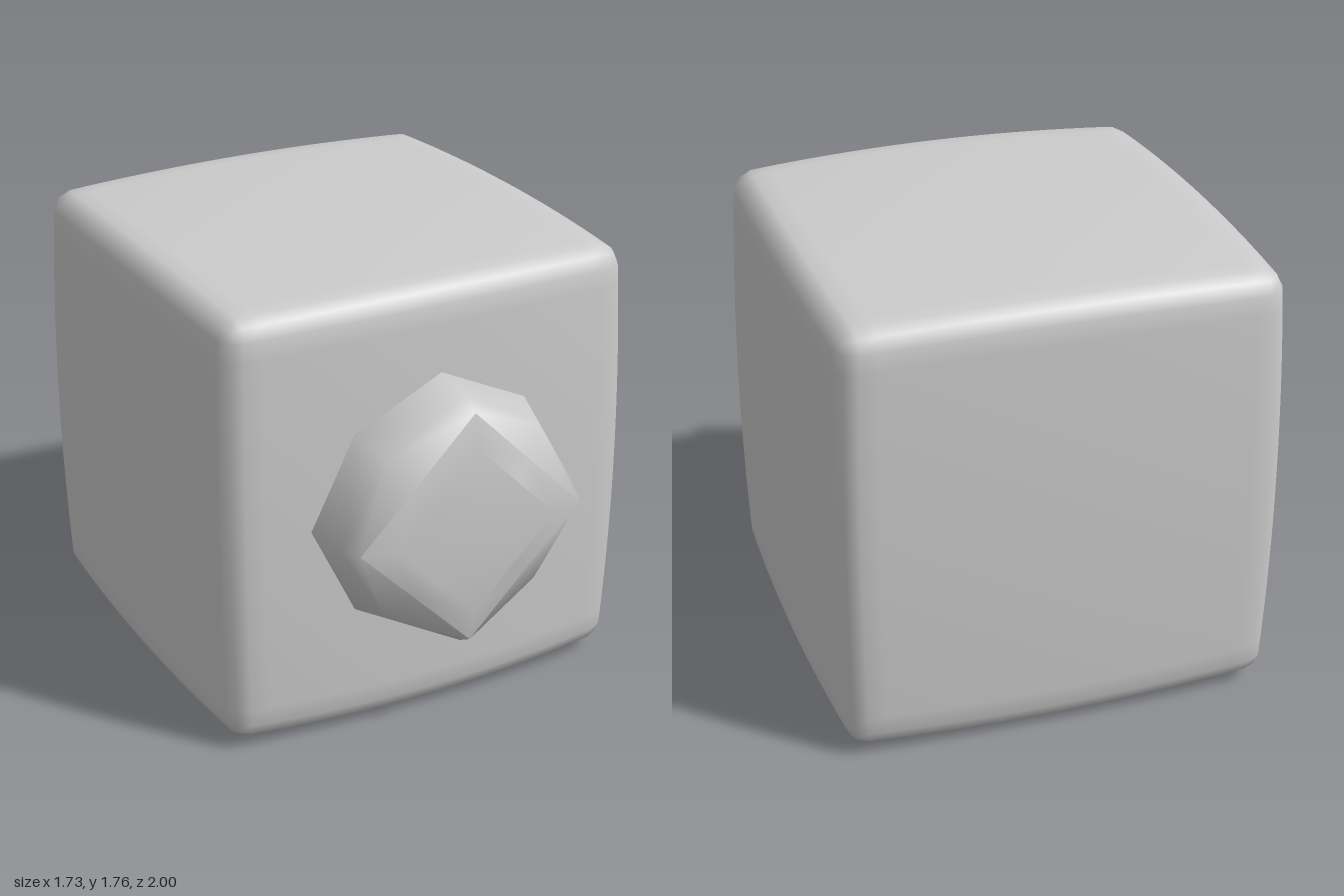
import * as THREE from 'three';
import { mergeVertices } from 'three/addons/utils/BufferGeometryUtils.js';

const material = new THREE.MeshStandardMaterial({ color: 0xcccccc });

// Cube with rounded edges and gently bulging faces
function createBody() {
  const half = [0.865, 0.88, 0.87], radius = 0.08, n = 24;
  const box = new THREE.BoxGeometry(2, 2, 2, n, n, n);
  box.deleteAttribute('uv');
  box.deleteAttribute('normal');
  const geometry = mergeVertices(box);
  const pos = geometry.attributes.position;
  const p = new THREE.Vector3(), inner = new THREE.Vector3(), q = new THREE.Vector3();
  for (let i = 0; i < pos.count; i++) {
    p.fromBufferAttribute(pos, i);
    p.set(p.x * half[0], p.y * half[1], p.z * half[2]);
    // round the edges
    inner.set(...p.toArray().map((v, a) => THREE.MathUtils.clamp(v, radius - half[a], half[a] - radius)));
    p.sub(inner).setLength(radius).add(inner);
    // draw the edges in, so each face bulges; the front bulges more across
    q.set(p.x / half[0], p.y / half[1], p.z / half[2]);
    const k = 0.025, front = q.z > 0 ? 0.035 * q.z : 0;
    pos.setXYZ(i,
      p.x * (1 - k * (q.y ** 2 + q.z ** 2)),
      p.y * (1 - k * (q.x ** 2 + q.z ** 2)),
      p.z * (1 - k * (q.x ** 2 + q.y ** 2) - front * q.x ** 2));
  }
  geometry.computeVertexNormals();
  const body = new THREE.Mesh(geometry, material);
  body.name = 'body';
  body.position.set(0, 0.88, -0.13);
  return body;
}

// Loft through eight-sided rings: [radius on axes, radius on diagonals, z]
function loftRings(rings, closeEnd) {
  const vertices = [], index = [], n = 8;
  for (const [axis, diagonal, z] of rings) {
    for (let i = 0; i < n; i++) {
      const r = i % 2 ? diagonal : axis, a = (i / n) * Math.PI * 2;
      vertices.push(r * Math.cos(a), r * Math.sin(a), z);
    }
  }
  for (let j = 0; j < rings.length - 1; j++) {
    for (let i = 0; i < n; i++) {
      const a = j * n + i, b = j * n + (i + 1) % n, c = a + n, d = b + n;
      // mirror the split so each diagonal facet stays symmetric
      if (i % 2) index.push(a, b, d, a, d, c);
      else index.push(a, b, c, b, d, c);
    }
  }
  if (closeEnd) {
    const last = (rings.length - 1) * n;
    for (let i = 1; i < n - 1; i++) index.push(last, last + i, last + i + 1);
  }
  const geometry = new THREE.BufferGeometry();
  geometry.setAttribute('position', new THREE.Float32BufferAttribute(vertices, 3));
  geometry.setIndex(index);
  geometry.computeVertexNormals();
  return geometry;
}

// Octagonal knob that narrows to a diamond-shaped face
function createKnob() {
  const knob = new THREE.Group();
  knob.name = 'knob';
  const side = new THREE.Mesh(loftRings([
    [0.525, 0.5, 0.6],
    [0.525, 0.5, 0.74],
    [0.5, 0.45, 0.9],
    [0.46, 0.325, 0.97],
  ]), material);
  side.name = 'knobSide';
  const face = new THREE.Mesh(loftRings([
    [0.46, 0.325, 0.97],
    [0.33, 0.233, 1.0],
  ], true), material);
  face.name = 'knobFace';
  knob.add(side, face);
  knob.position.y = 0.885;
  return knob;
}

export function createModel() {
  const model = new THREE.Group();
  model.name = 'cubeWithKnob';
  model.add(createBody(), createKnob());
  return model;
}
